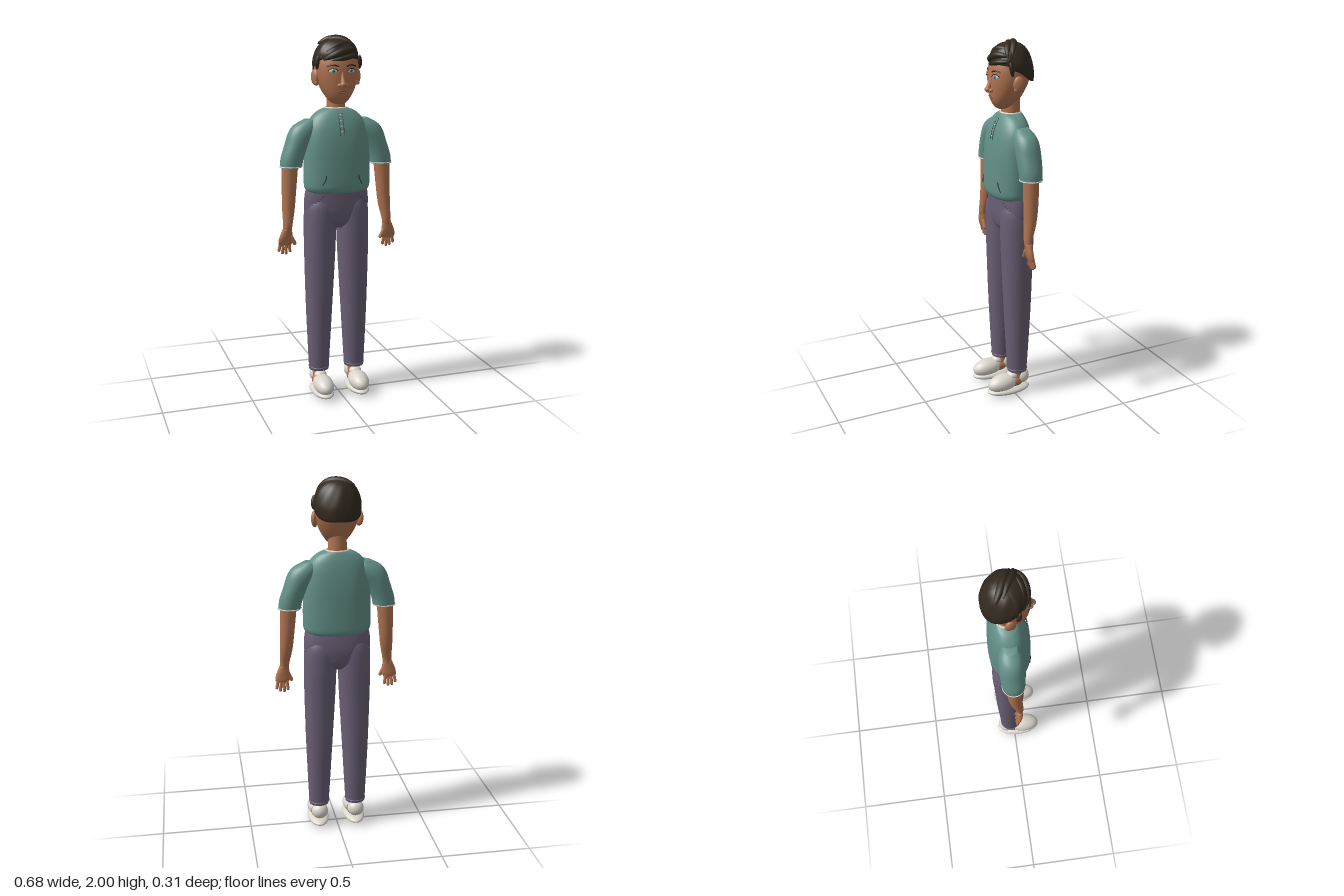
import * as THREE from 'three';

const mat = (name, color) => Object.assign(new THREE.MeshStandardMaterial({ color }), { name });
const skin = mat('skin', 0xb07350), shirtMat = mat('shirt teal', 0x628f87), trouserMat = mat('trouser purple', 0x6a5f75);
const hairMat = mat('hair brown', 0x32291e), white = mat('off white', 0xd9d5cc), dark = mat('stitch dark', 0x263434);
const irisMat = mat('iris blue', 0x5d8d98), lipMat = mat('lip', 0x96543f);

const V = (x, y, z) => new THREE.Vector3(x, y, z);

// Closed tube of rows, fn(row 0..1, angle) -> point; rows run upward
function grid(fn, rows, cols) {
  const pos = [], idx = [];
  for (let i = 0; i <= rows; i++)
    for (let j = 0; j < cols; j++) pos.push(...fn(i / rows, (j / cols) * Math.PI * 2, i).toArray());
  for (let i = 0; i < rows; i++)
    for (let j = 0; j < cols; j++) {
      const k = (j + 1) % cols, a = i * cols + j, b = i * cols + k, c = a + cols, d = b + cols;
      idx.push(a, c, b, b, c, d);
    }
  const g = new THREE.BufferGeometry();
  g.setAttribute('position', new THREE.Float32BufferAttribute(pos, 3));
  g.setIndex(idx);
  g.computeVertexNormals();
  return g;
}

// Smoothed section at t through rings of [y, cx, cz, rx, rz]
function sections(rings) {
  const c = new THREE.CatmullRomCurve3(rings.map(r => V(r[1], r[0], r[2])), false, 'catmullrom');
  const s = new THREE.CatmullRomCurve3(rings.map(r => V(r[3], 0, r[4])), false, 'catmullrom');
  return t => ({ c: c.getPoint(t), s: s.getPoint(t) });
}
const superCos = (v, n) => Math.sign(v) * Math.abs(v) ** (2 / n);

// Body volume through stacked rings with closed ends
function loft(rings, n = 2, cols = 40) {
  const at = sections(rings), rows = (rings.length - 1) * 6 + 2;
  return grid((_, a, i) => {
    const { c, s } = at(THREE.MathUtils.clamp((i - 1) / (rows - 2), 0, 1));
    const k = i === 0 || i === rows ? 0 : 1;
    return V(c.x + k * s.x * superCos(Math.cos(a), n), c.y, c.z + k * s.z * superCos(Math.sin(a), n));
  }, rows, cols);
}

// Point on the front of a loft, lifted by d
function onFront(rings, x, y, d = 0, n = 2) {
  const at = sections(rings);
  let lo = 0, hi = 1;
  for (let i = 0; i < 24; i++) {
    const m = (lo + hi) / 2;
    if (at(m).c.y < y) lo = m; else hi = m;
  }
  const { c, s } = at(lo);
  const u = Math.min(1, Math.abs((x - c.x) / s.x));
  return V(x, y, c.z + s.z * (1 - u ** n) ** (1 / n) + d);
}

const TORSO = [
  [1.168, 0, -.018, .16, .1], [1.185, 0, -.017, .178, .109], [1.23, 0, -.016, .184, .112], [1.4, 0, -.018, .181, .108],
  [1.5, 0, -.021, .17, .097], [1.56, 0, -.025, .148, .082], [1.6, 0, -.029, .108, .065], [1.62, 0, -.032, .062, .053]];
const HEAD = [
  [1.643, 0, .02, .02, .02], [1.655, 0, .015, .045, .042], [1.69, 0, .003, .073, .075], [1.74, 0, -.009, .099, .095],
  [1.8, 0, -.02, .116, .108], [1.86, 0, -.026, .118, .108], [1.92, 0, -.03, .103, .09], [1.96, 0, -.03, .06, .05]];
const HIPS = [
  [.965, 0, -.027, .05, .05], [1, 0, -.027, .13, .08], [1.05, 0, -.027, .174, .091], [1.1, 0, -.027, .182, .094],
  [1.16, 0, -.024, .177, .092], [1.2, 0, -.02, .165, .088]];

export function createModel() {
  const model = new THREE.Group();
  const add = (name, geo, material, p, scale, rot, parent = model) => {
    const m = new THREE.Mesh(geo, material);
    m.name = name;
    if (p) m.position.copy(p);
    if (scale) m.scale.set(...scale);
    if (rot) m.rotation.set(...rot);
    parent.add(m);
    return m;
  };
  const ball = new THREE.SphereGeometry(1, 32, 20);
  const line = (name, pts, r, m) =>
    add(name, new THREE.TubeGeometry(new THREE.CatmullRomCurve3(pts), 12, r, 6), m);

  // Trunk
  add('shirt', loft(TORSO, 2.3, 56), shirtMat);
  add('hips', loft(HIPS, 2.2, 48), trouserMat);
  add('neck', new THREE.CylinderGeometry(.047, .052, .14, 32), skin, V(0, 1.65, -.034));
  add('collar', new THREE.TorusGeometry(.057, .006, 8, 40), white, V(0, 1.619, -.033), [1.05, .92, 1], [Math.PI / 2, 0, 0]);

  // Placket edges and buttons
  const chest = (x, y, d) => onFront(TORSO, x, y, d, 2.3);
  for (const x of [-.011, .011])
    line('placketEdge', [1.48, 1.52, 1.56, 1.595].map(y => chest(x, y, .001)), .0016, dark);
  for (let i = 0; i < 4; i++) add('button', ball, white, chest(0, 1.5 + i * .029, .002), [.004, .004, .003]);

  // Head and face
  add('head', loft(HEAD, 2.1, 48), skin);
  const face = (x, y, d) => onFront(HEAD, x, y, d, 2.1);
  add('noseBridge', loft([[1.735, 0, .09, .016, .018], [1.755, 0, .09, .014, .021], [1.79, 0, .082, .011, .014], [1.83, 0, .076, .009, .008]], 2, 20), skin);
  add('noseTip', ball, skin, V(0, 1.75, .098), [.017, .015, .018]);
  line('upperLip', [[-.024, 1.711], [-.008, 1.717], [.008, 1.717], [.024, 1.711]].map(p => face(p[0], p[1], 0)), .0035, lipMat);
  line('lowerLip', [[-.019, 1.708], [0, 1.703], [.019, 1.708]].map(p => face(p[0], p[1], 0)), .004, lipMat);

  for (const s of [1, -1]) {
    add('nostril', ball, skin, V(s * .018, 1.745, .087), [.012, .011, .014]);
    add('eyeWhite', ball, white, face(s * .05, 1.82, -.001), [.023, .011, .005], [0, s * .35, 0]);
    add('iris', ball, irisMat, face(s * .049, 1.82, .003), [.01, .01, .003], [0, s * .35, 0]);
    add('pupil', ball, dark, face(s * .049, 1.82, .0055), [.004, .004, .0015], [0, s * .35, 0]);
    line('eyelid', [[.027, 1.82], [.04, 1.831], [.06, 1.831], [.075, 1.821]].map(p => face(s * p[0], p[1], .003)), .0025, hairMat);
    line('eyebrow', [[.022, 1.843], [.05, 1.851], [.08, 1.843]].map(p => face(s * p[0], p[1], .001)), .004, hairMat);
    add('ear', ball, skin, V(s * .12, 1.785, -.022), [.016, .042, .03], [0, s * -.3, 0]);
    add('earLobe', ball, skin, V(s * .116, 1.757, -.012), [.012, .018, .016]);
  }

  // Hair cap with a rim low at the back, raised over the face, and combed ridges
  const rimY = z => z > .02 ? 1.872 : THREE.MathUtils.lerp(1.785, 1.855, THREE.MathUtils.smoothstep(z, -.15, .02));
  add('hair', grid((t, a, i) => {
    const z0 = Math.sin(a) * .12 - .038, y0 = rimY(z0);
    const u = Math.max(0, (i - 1) / 23) * Math.PI / 2;
    const ripple = 1 + .012 * Math.sin(a * 9 + u * 5) * Math.sin(2 * u);
    const r = (i === 0 ? .86 : (.95 + .05 * Math.min(1, u * 3)) * Math.cos(u) ** .78) * ripple;
    return V(.129 * r * Math.cos(a), y0 + (1.987 - y0) * Math.sin(u), -.038 + .12 * r * Math.sin(a));
  }, 24, 72), hairMat);

  // Swept locks: tapered tubes
  const lock = (pts, r) => {
    const curve = new THREE.CatmullRomCurve3(pts.map(p => V(...p))), F = curve.computeFrenetFrames(16);
    add('hairLock', grid((t, a, i) => {
      const w = r * Math.sin(Math.PI * (.04 + .92 * t)) ** .6 * (i % 16 ? 1 : 0);
      return curve.getPointAt(t).addScaledVector(F.normals[i], -w * Math.cos(a)).addScaledVector(F.binormals[i], w * Math.sin(a));
    }, 16, 12).scale(1, 1, 1), Object.assign(hairMat, { side: THREE.DoubleSide }));
  };
  lock([[-.085, 1.955, -.09], [-.03, 1.98, -.06], [.04, 1.978, -.03], [.1, 1.935, .005]], .02);
  lock([[-.07, 1.965, -.05], [0, 1.982, -.02], [.06, 1.96, .015], [.1, 1.915, .03]], .018);
  lock([[.1, 1.925, .02], [.05, 1.93, .056], [-.03, 1.905, .066], [-.095, 1.87, .032]], .02);
  lock([[.105, 1.9, .02], [.06, 1.895, .061], [0, 1.882, .073], [-.06, 1.872, .062]], .014);
  lock([[.07, 1.96, .01], [0, 1.955, .04], [-.06, 1.92, .038], [-.115, 1.865, .01]], .018);
  for (const s of [1, -1]) lock([[s * .113, 1.9, .025], [s * .119, 1.86, .018], [s * .118, 1.825, .012]], .012);

  for (const s of [1, -1]) {
    const side = rings => rings.map(([y, x, ...r]) => [y, s * x, ...r]);

    // Sleeve and arm
    add('sleeve', loft(side([
      [1.308, .257, -.025, .06, .058], [1.36, .248, -.026, .062, .062], [1.43, .222, -.028, .065, .066],
      [1.49, .192, -.029, .075, .065], [1.53, .168, -.029, .07, .055], [1.562, .145, -.029, .035, .035]]), 2.1), shirtMat);
    add('sleeveTrim', new THREE.TorusGeometry(.059, .0035, 8, 40), white, V(s * .257, 1.312, -.025), [1.02, .99, 1], [Math.PI / 2, 0, 0]);
    add('arm', loft(side([
      [.965, .289, .004, .025, .019], [1.0, .285, .002, .026, .023], [1.08, .277, -.012, .034, .033],
      [1.18, .271, -.019, .039, .039], [1.34, .262, -.023, .046, .043]])), skin);

    // Hand
    add('palm', loft(side([
      [.885, .3, -.004, .034, .011], [.9, .299, -.002, .04, .015], [.93, .296, .002, .037, .018], [.975, .289, .004, .025, .019]]), 2.2, 24), skin);
    for (let i = 0; i < 4; i++) {
      const len = [.044, .056, .052, .036][i];
      add('finger', new THREE.CapsuleGeometry(.0085, len, 4, 10), skin,
        V(s * (.274 + i * .0185), .887 - len * .4, -.01), null, [.15, 0, s * (i - 1.2) * .1]);
    }
    add('thumb', new THREE.CapsuleGeometry(.0105, .04, 4, 10), skin, V(s * .259, .912, .008), null, [0, 0, s * -.45]);

    // Trouser leg
    add('trouserLeg', loft(side([
      [.15, .105, -.025, .054, .053], [.17, .105, -.025, .057, .056], [.5, .102, -.026, .073, .074], [.8, .097, -.026, .085, .085],
      [.97, .094, -.027, .089, .091], [1.08, .09, -.027, .088, .09], [1.14, .085, -.025, .07, .075]]), 2.1), trouserMat);
    add('trouserHem', new THREE.TorusGeometry(.054, .005, 8, 36), trouserMat, V(s * .105, .154, -.025), null, [Math.PI / 2, 0, 0]);

    // Pocket stitching on shirt and trousers
    line('shirtPocket', [[.09, 1.268], [.096, 1.245], [.112, 1.215]].map(p => chest(s * p[0], p[1], .001)), .003, dark);
    for (let i = 0; i < 5; i++)
      add('pocketStitch', ball, dark, onFront(HIPS, s * (.1 + i * .0125), 1.148 - i * .012, .001, 2.2), [.004, .003, .003]);

    // Ankle and shoe
    add('ankle', new THREE.CylinderGeometry(.034, .036, .11, 24), skin, V(s * .105, .13, -.028));
    add('foot', ball, skin, V(s * .105, .075, -.01), [.044, .036, .05]);
    add('shoeSole', ball, white, V(s * .105, .028, .027), [.061, .026, .128]);
    add('shoeUpper', ball, white, V(s * .105, .073, .062), [.055, .05, .092], [.1, 0, 0]);
    add('shoeHeel', ball, white, V(s * .105, .098, -.053), [.047, .046, .044]);
    add('shoeTongue', ball, white, V(s * .105, .112, .004), [.035, .024, .032]);
  }
  return model;
}
